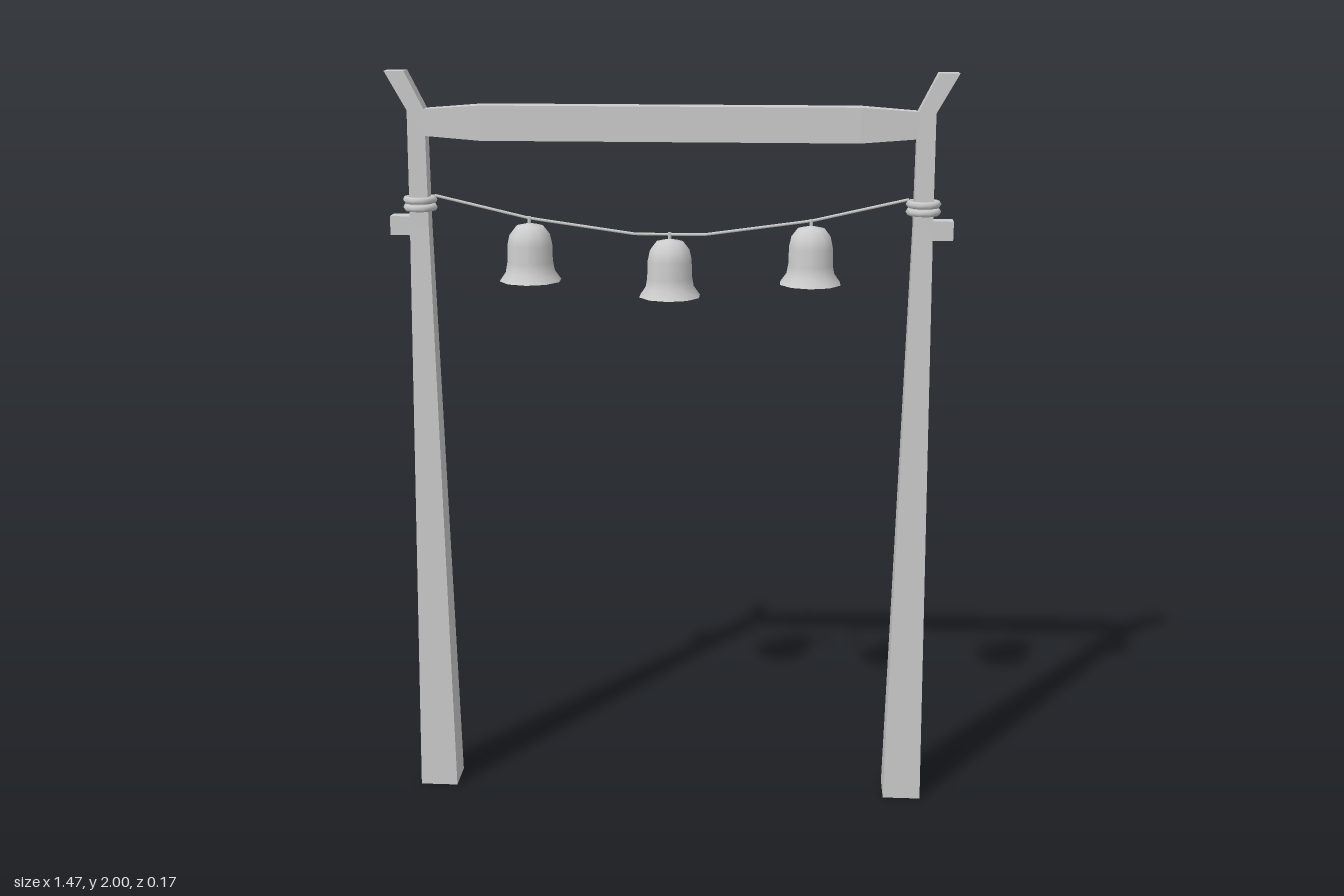
import * as THREE from 'three';

const flat = new THREE.MeshStandardMaterial({ color: 0xcccccc, flatShading: true });
const smooth = new THREE.MeshStandardMaterial({ color: 0xcccccc, side: THREE.DoubleSide });

function add(parent, name, geometry, material, x = 0, y = 0, z = 0) {
  const mesh = new THREE.Mesh(geometry, material);
  mesh.name = name;
  mesh.position.set(x, y, z);
  parent.add(mesh);
  return mesh;
}

// Square timber lofted upwards through sections [y, xMin, xMax, halfDepth]
function timber(sections) {
  const pos = [], idx = [];
  for (const [y, a, b, h] of sections) pos.push(a, y, h, b, y, h, b, y, -h, a, y, -h);
  const last = (sections.length - 1) * 4;
  for (let s = 0; s < last; s += 4) {
    for (let i = 0; i < 4; i++) {
      const j = (i + 1) % 4;
      idx.push(s + i, s + j, s + 4 + j, s + i, s + 4 + j, s + 4 + i);
    }
  }
  idx.push(0, 2, 1, 0, 3, 2, last, last + 1, last + 2, last, last + 2, last + 3);
  const g = new THREE.BufferGeometry();
  g.setAttribute('position', new THREE.Float32BufferAttribute(pos, 3));
  g.setIndex(idx);
  g.computeVertexNormals();
  return g;
}

// Post with outward horn, peg and rope lashing, built on the +x side
function createPost(name) {
  const post = new THREE.Group();
  post.name = name;
  add(post, 'postTimber', timber([
    [0, 0.605, 0.708, 0.052],
    [1.6, 0.633, 0.683, 0.025],
    [1.9, 0.634, 0.68, 0.024],
    [2, 0.684, 0.736, 0.024],
  ]), flat);
  add(post, 'peg', new THREE.BoxGeometry(0.09, 0.05, 0.046), flat, 0.691, 1.6, 0);
  for (const y of [1.647, 1.667]) {
    const ring = new THREE.TorusGeometry(0.036, 0.01, 6, 10).rotateX(Math.PI / 2);
    add(post, 'lashing', ring, smooth, 0.658, y, 0);
  }
  return post;
}

// Ten-sided bell, origin at its rim
function createBell(name, x, y) {
  const bell = new THREE.Group();
  bell.name = name;
  bell.position.set(x, y, 0);
  const profile = [[0.083, 0], [0.066, 0.024], [0.061, 0.05], [0.06, 0.095], [0.054, 0.122], [0.036, 0.145], [0, 0.153]];
  add(bell, 'bellBody', new THREE.LatheGeometry(profile.map(p => new THREE.Vector2(...p)), 10), smooth);
  add(bell, 'bellBase', new THREE.CircleGeometry(0.083, 10, Math.PI / 2).rotateX(Math.PI / 2), flat);
  add(bell, 'hanger', new THREE.CylinderGeometry(0.005, 0.005, 0.022, 6), smooth, 0, 0.159, 0);
  return bell;
}

export function createModel() {
  const model = new THREE.Group();
  model.name = 'bellGate';

  // Posts, the second turned half round
  const right = createPost('rightPost');
  right.rotation.y = Math.PI;
  model.add(createPost('leftPost'), right);

  // Crossbeam, thinner at both ends
  const end = [-1.903, -1.835, 0.024], mid = [-1.914, -1.824, 0.032];
  const beam = timber([[-0.64, ...end], [-0.49, ...mid], [0.49, ...mid], [0.64, ...end]]);
  add(model, 'crossbeam', beam.rotateZ(-Math.PI / 2), flat);

  // Sagging rope of straight pieces
  const half = [[0.09, 1.581], [0.37, 1.62], [0.62, 1.678]];
  const points = [...half.map(([x, y]) => [-x, y]).reverse(), ...half].map(([x, y]) => new THREE.Vector3(x, y, 0));
  const path = new THREE.CurvePath();
  for (let i = 1; i < points.length; i++) path.add(new THREE.LineCurve3(points[i - 1], points[i]));
  add(model, 'rope', new THREE.TubeGeometry(path, 40, 0.004, 6), smooth);

  // Bells
  model.add(createBell('rightBell', -0.37, 1.455));
  model.add(createBell('middleBell', 0, 1.417));
  model.add(createBell('leftBell', 0.37, 1.455));
  return model;
}
